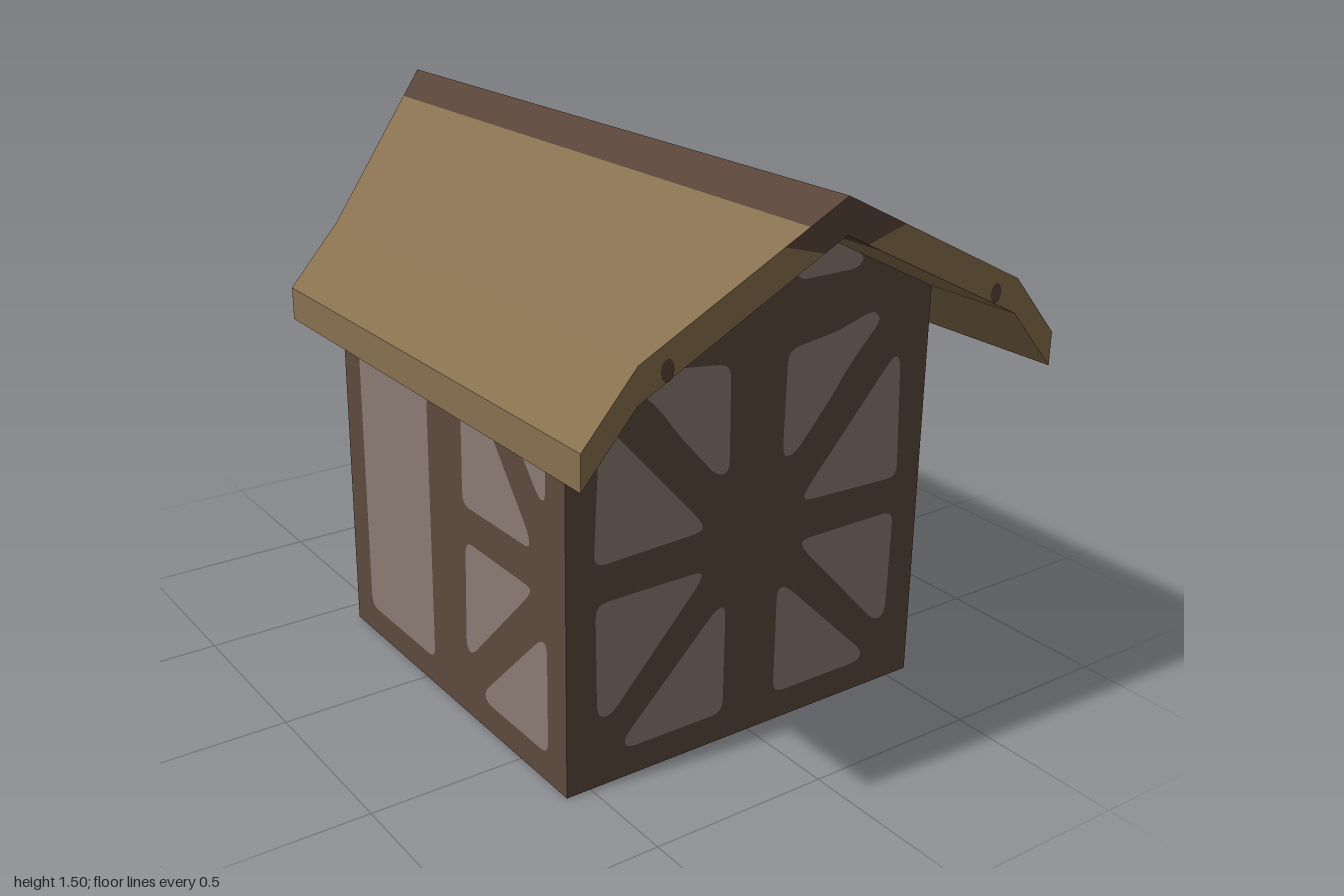
import * as THREE from 'three';

const mat = (name, color) => new THREE.MeshStandardMaterial({ name, color, side: THREE.DoubleSide });

// Closed outline with softly rounded corners
function rounded(path, pts, r = 0.035) {
  const v = pts.map(p => new THREE.Vector2(p[0], p[1]));
  v.forEach((p, i) => {
    const prev = v[(i + v.length - 1) % v.length], next = v[(i + 1) % v.length];
    const cut = q => p.clone().lerp(q, Math.min(0.45, r / p.distanceTo(q)));
    const a = cut(prev), b = cut(next);
    if (i === 0) path.moveTo(a.x, a.y); else path.lineTo(a.x, a.y);
    path.quadraticCurveTo(p.x, p.y, b.x, b.y);
  });
  path.closePath();
  return path;
}

// Flat faces from corner loops, each loop a convex polygon
function faces(loops, flip) {
  const pos = [];
  for (const l of loops) {
    const p = l.map(([x, y, z]) => [flip ? -x : x, y, z]);
    if (flip) p.reverse();
    for (let i = 1; i < p.length - 1; i++) pos.push(...p[0], ...p[i], ...p[i + 1]);
  }
  const g = new THREE.BufferGeometry();
  g.setAttribute('position', new THREE.Float32BufferAttribute(pos, 3));
  g.computeVertexNormals();
  return g;
}

export function createModel() {
  const timber = mat('dark timber', 0x5c493d);
  const plaster = mat('grey plaster', 0x8b7b74);
  const thatch = mat('tan roofing', 0x88714f);
  const ridge = mat('ridge brown', 0x584439);
  const model = new THREE.Group();
  model.name = 'timberHut';

  const add = (parent, name, geo, material) => {
    const m = new THREE.Mesh(geo, material);
    m.name = name;
    parent.add(m);
    return m;
  };

  // Timber sheet with plaster panels set flush into its openings
  function wall(name, outline, panels) {
    const g = new THREE.Group();
    g.name = name;
    const shape = new THREE.Shape(outline.map(p => new THREE.Vector2(p[0], p[1])));
    shape.holes = panels.map(p => rounded(new THREE.Path(), p));
    add(g, 'timberFrame', new THREE.ShapeGeometry(shape, 4), timber);
    add(g, 'plasterPanels', new THREE.ShapeGeometry(panels.map(p => rounded(new THREE.Shape(), p)), 4), plaster);
    model.add(g);
    return g;
  }
  const mirror = pts => pts.map(([x, y]) => [-x, y]);

  // Front gable wall
  const half = [
    [[0.085, 0.39], [0.115, 0.39], [0.4, 0.11], [0.39, 0.08], [0.085, 0.08]],
    [[0.16, 0.51], [0.485, 0.51], [0.48, 0.2], [0.44, 0.19], [0.17, 0.48]],
    [[0.16, 0.62], [0.17, 0.65], [0.45, 0.96], [0.475, 0.95], [0.49, 0.61]],
    [[0.085, 0.76], [0.125, 0.76], [0.24, 0.89], [0.3, 0.97], [0.4, 1.07], [0.37, 1.1], [0.25, 1.065], [0.09, 1.045]],
    [[0.105, 1.22], [0.31, 1.22], [0.33, 1.25], [0.125, 1.355], [0.105, 1.36]],
  ];
  wall('frontWall', [[-0.57, 0], [0.57, 0], [0.57, 1.13], [0, 1.415], [-0.57, 1.13]],
    [...half, ...half.map(mirror)]).position.z = 0.715;

  // Side walls, drawn as (z, y)
  const sideOutline = [[-0.425, 0], [0.715, 0], [0.715, 1.13], [-0.425, 1.13]];
  const sidePanels = [
    [[0.05, 0.08], [-0.33, 0.08], [-0.335, 1.06], [0.055, 1.06]],
    [[0.63, 0.39], [0.6, 0.39], [0.32, 0.11], [0.33, 0.08], [0.63, 0.08]],
    [[0.56, 0.515], [0.24, 0.515], [0.23, 0.2], [0.26, 0.19], [0.55, 0.49]],
    [[0.56, 0.62], [0.23, 0.615], [0.235, 0.99], [0.27, 1], [0.55, 0.66]],
    [[0.63, 0.77], [0.6, 0.77], [0.47, 0.92], [0.35, 1.05], [0.36, 1.08], [0.63, 1.05]],
  ];
  const right = wall('leftWall', mirror(sideOutline), sidePanels.map(mirror));
  right.position.x = 0.57;
  right.rotation.y = Math.PI / 2;
  const left = wall('rightWall', sideOutline, sidePanels);
  left.position.x = -0.57;
  left.rotation.y = -Math.PI / 2;

  // Roof cross-section: ridge, stripe edge, knee, eave; the back is cut to a point
  const T = 0.09, X = [0, 0.11, 0.57, 0.715], Y = [1.505, 1.45, 1.22, 1.055];
  const back = [-1, -0.89, -0.43, -0.43];
  const top = (i, z) => [X[i], Y[i], z];
  const low = (i, z) => [X[i], Y[i] - T, z];
  const upper = i => [top(i, 1), top(i + 1, 1), top(i + 1, back[i + 1]), top(i, back[i])];
  const under = i => [low(i, 1), low(i, back[i]), low(i + 1, back[i + 1]), low(i + 1, 1)];
  for (const flip of [false, true]) {
    const g = new THREE.Group();
    g.name = flip ? 'rightRoof' : 'leftRoof';
    model.add(g);
    add(g, 'ridgeStripe', faces([upper(0), under(0)], flip), ridge);
    add(g, 'roofSlope', faces([upper(1), under(1)], flip), thatch);
    add(g, 'eave', faces([
      upper(2), under(2),
      [top(3, 1), low(3, 1), low(3, -0.43), top(3, -0.43)],
      [top(2, -0.43), top(3, -0.43), low(3, -0.43), low(2, -0.43)],
    ], flip), thatch);

    // Front edge of the roof with its brown peak and knot
    add(g, 'frontEdge', faces([
      [[0.18, 1.415, 1], [0.065, 1.3825, 1], low(2, 1), top(2, 1)],
      [top(2, 1), low(2, 1), low(3, 1), top(3, 1)],
    ], flip), thatch);
    add(g, 'frontPeak', faces([[top(0, 1), low(0, 1), [0.065, 1.3825, 1], [0.18, 1.415, 1]]], flip), ridge);
    const knot = add(g, 'edgeKnot', new THREE.CircleGeometry(0.018, 10), ridge);
    knot.scale.y = 1.5;
    knot.position.set(flip ? -0.495 : 0.495, 1.195, 1.002);
  }
  return model;
}
